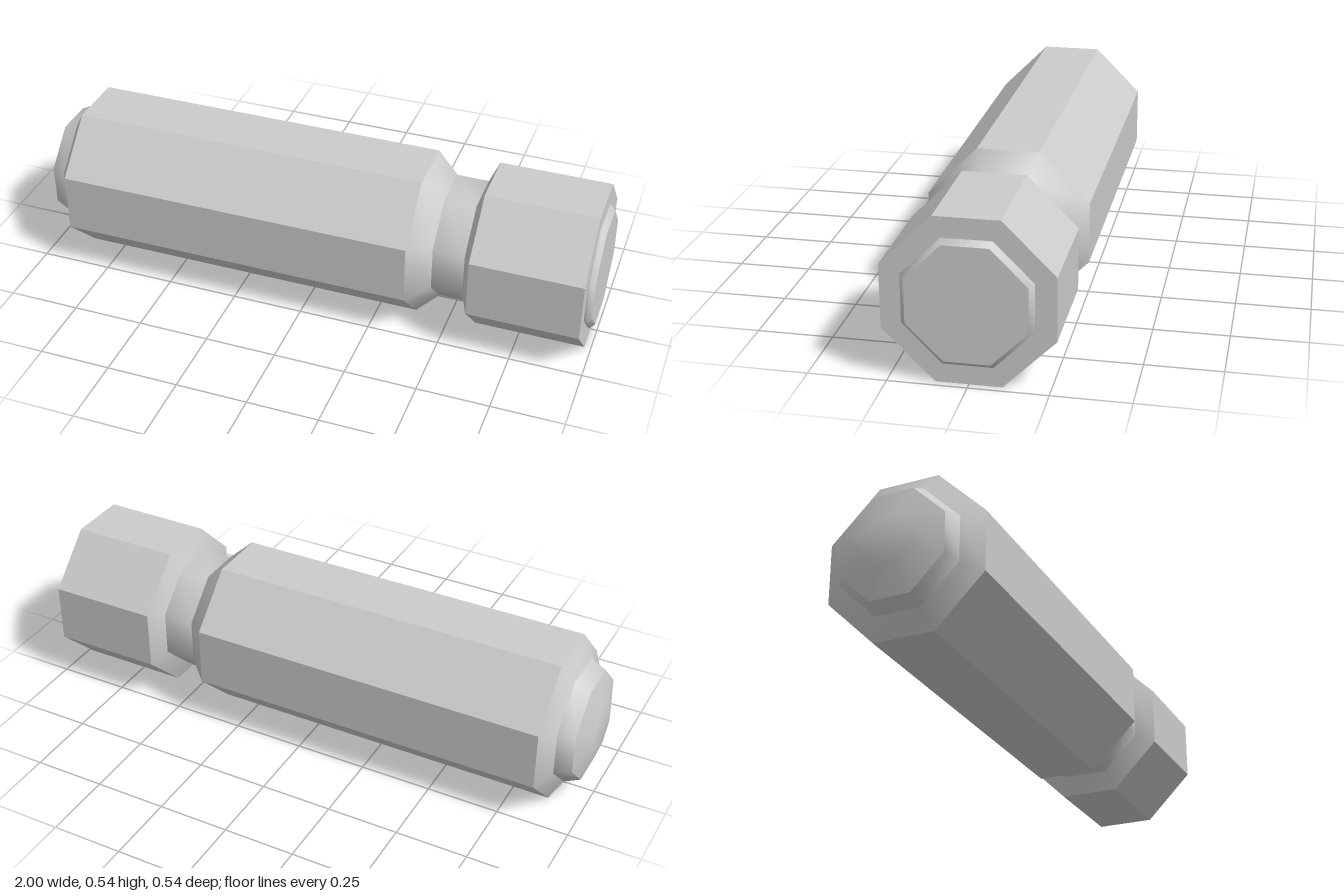
import * as THREE from 'three';

const AXIS_Y = 0.27;

// Octagon corners (y, z) for a unit half-width, with slightly short upright sides
const K = 0.385;
const OCTAGON = [[1, -K], [1, K], [K, 1], [-K, 1], [-1, K], [-1, -K], [-K, -1], [K, -1]];

// Octagonal skin through stations [x, halfWidth], ordered from -x to +x
function skin(stations, flat) {
  const positions = [];
  const index = [];
  for (const [x, r] of stations) {
    for (const [y, z] of OCTAGON) positions.push(x, y * r, z * r);
  }
  for (let i = 0; i < stations.length - 1; i++) {
    for (let j = 0; j < 8; j++) {
      const a = i * 8 + j, b = i * 8 + (j + 1) % 8;
      if (stations[i][1] > 0) index.push(a, b, b + 8);
      if (stations[i + 1][1] > 0 || stations[i][1] === 0) index.push(a, b + 8, a + 8);
    }
  }
  let geometry = new THREE.BufferGeometry();
  geometry.setAttribute('position', new THREE.Float32BufferAttribute(positions, 3));
  geometry.setIndex(index);
  if (flat) geometry = geometry.toNonIndexed();
  geometry.computeVertexNormals();
  return geometry;
}

export function createModel() {
  const group = new THREE.Group();
  const material = new THREE.MeshStandardMaterial({ color: 0xcccccc });

  const add = (name, stations, flat = false) => {
    const mesh = new THREE.Mesh(skin(stations, flat), material);
    mesh.name = name;
    mesh.position.y = AXIS_Y;
    group.add(mesh);
  };

  // Domed tip and its shoulder
  add('tipDome', [[-1, 0], [-1, 0.08], [-0.97, 0.18]]);
  add('tipCollar', [[-0.97, 0.18], [-0.915, 0.203]]);
  add('tipShoulder', [[-0.915, 0.203], [-0.875, 0.27]]);

  // Long faceted grip, tapering into the neck
  add('grip', [[-0.875, 0.27], [0.38, 0.27]], true);
  add('gripChamfer', [[0.38, 0.27], [0.455, 0.203]]);
  add('neck', [[0.455, 0.203], [0.565, 0.203]]);

  // Faceted head with its end face
  add('headChamfer', [[0.565, 0.203], [0.595, 0.269]]);
  add('head', [[0.595, 0.269], [0.978, 0.269]], true);
  add('headFace', [[0.978, 0.269], [0.978, 0.203]], true);

  // Raised end cap
  add('capBevel', [[0.978, 0.203], [0.985, 0.203], [1, 0.188]]);
  add('capFace', [[1, 0.188], [1, 0]], true);

  return group;
}
